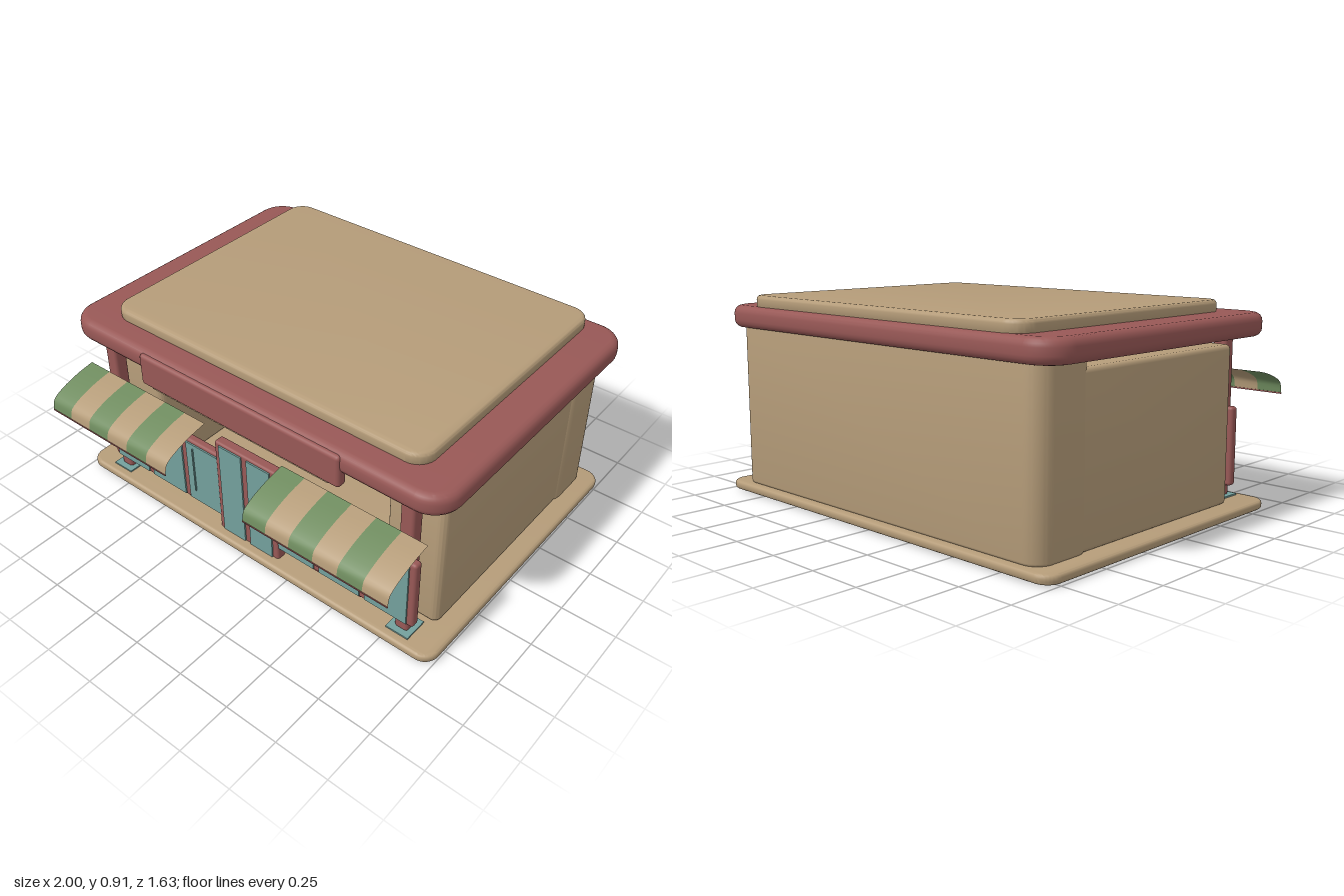
import * as THREE from 'three';
import { toCreasedNormals } from 'three/addons/utils/BufferGeometryUtils.js';
import { RoundedBoxGeometry } from 'three/addons/geometries/RoundedBoxGeometry.js';

const paint = (name, color, side = THREE.FrontSide) => {
  const m = new THREE.MeshStandardMaterial({ color, side });
  m.name = name;
  return m;
};

export function createModel() {
  const tan = paint('tan', 0xb59c79);
  const red = paint('brick red', 0x985856);
  const teal = paint('teal glass', 0x74a09d);
  const green = paint('awning green', 0x6f8c5f, THREE.DoubleSide);
  const cream = paint('awning tan', 0xb59c79, THREE.DoubleSide);
  const model = new THREE.Group();
  model.name = 'shop';

  const add = (name, geometry, material) => {
    const mesh = new THREE.Mesh(geometry, material);
    mesh.name = name;
    model.add(mesh);
    return mesh;
  };

  // Box given by its limits, optionally with softened edges
  const block = (name, mat, [x0, x1], [y0, y1], [z0, z1], r = 0) => {
    const s = [x1 - x0, y1 - y0, z1 - z0];
    const g = r ? new RoundedBoxGeometry(...s, 3, r) : new THREE.BoxGeometry(...s);
    add(name, g, mat).position.set((x0 + x1) / 2, (y0 + y1) / 2, (z0 + z1) / 2);
  };

  // Horizontal slab with rounded plan corners and rolled edges
  const slab = (name, mat, [x0, x1], [y0, y1], [z0, z1], r, bevel) => {
    const s = new THREE.Shape();
    const b = -z1, t = -z0, H = Math.PI / 2;
    s.absarc(x1 - r, b + r, r, -H, 0);
    s.absarc(x1 - r, t - r, r, 0, H);
    s.absarc(x0 + r, t - r, r, H, 2 * H);
    s.absarc(x0 + r, b + r, r, 2 * H, 3 * H);
    s.closePath();
    const g = new THREE.ExtrudeGeometry(s, {
      depth: y1 - y0 - 2 * bevel, bevelThickness: bevel, bevelSize: bevel,
      bevelOffset: -bevel, bevelSegments: 4, curveSegments: 8,
    });
    g.rotateX(-Math.PI / 2).translate(0, y0 + bevel, 0);
    add(name, toCreasedNormals(g, 0.7), mat);
  };

  // Base, walls and roof
  slab('base', tan, [-1, 1], [0.005, 0.045], [-0.815, 0.62], 0.07, 0.015);
  slab('rearBlock', tan, [-0.92, 0.92], [0.04, 0.775], [-0.78, -0.48], 0.08, 0.015);
  for (const s of [-1, 1]) {
    const xs = s > 0 ? [0.64, 0.912] : [-0.912, -0.64];
    slab('sideWall', tan, xs, [0.042, 0.73], [-0.56, 0.44], 0.035, 0.02);
  }
  slab('roof', red, [-1, 1], [0.762, 0.862], [-0.81, 0.61], 0.13, 0.035);
  slab('roofDeck', tan, [-0.83, 0.83], [0.85, 0.912], [-0.78, 0.49], 0.085, 0.018);
  block('signBoard', red, [-0.54, 0.54], [0.695, 0.85], [0.568, 0.62], 0.018);
  block('signTrim', tan, [-0.48, 0.48], [0.69, 0.696], [0.58, 0.61]);

  // Posts at the front corners on flat feet
  for (const x of [-0.812, 0.812]) {
    block('post', red, [x - 0.033, x + 0.033], [0.045, 0.752], [0.488, 0.553], 0.015);
    block('postFoot', teal, [x - 0.055, x + 0.055], [0.044, 0.052], [0.465, 0.58]);
  }

  // Window banks, each with three panes
  for (const s of [-1, 1]) {
    const span = (a, b) => (s > 0 ? [a, b] : [-b, -a]);
    block('windowFrame', red, span(0.15, 0.873), [0.095, 0.446], [0.515, 0.558], 0.014);
    for (const [a, b] of [[0.165, 0.363], [0.393, 0.605], [0.635, 0.843]]) {
      block('windowPane', teal, span(a, b), [0.108, 0.432], [0.557, 0.565]);
    }
    for (const x of [0.36, 0.48, 0.58]) {
      block('frameFoot', red, span(x - 0.025, x + 0.025), [0.088, 0.1], [0.525, 0.55]);
    }
    block('awningLamp', teal, span(0.53, 0.6), [0.47, 0.477], [0.63, 0.695]);
  }
  for (const x of [-0.8, -0.32, 0.2, 0.68]) {
    block('windowBar', teal, [x - 0.003, x + 0.003], [0.17, 0.41], [0.565, 0.571]);
  }

  // Double door
  block('doorFrame', red, [-0.175, 0.17], [0.03, 0.537], [0.52, 0.57], 0.012);
  for (const [a, b] of [[-0.145, -0.018], [0.013, 0.14]]) {
    block('doorPane', teal, [a, b], [0.046, 0.525], [0.569, 0.577]);
  }
  block('threshold', red, [-0.16, 0.16], [0, 0.012], [0.535, 0.56]);

  // Striped awnings: a curved profile swept across each stripe
  const curve = new THREE.CatmullRomCurve3([
    [0.57, 0.605], [0.66, 0.589], [0.755, 0.558], [0.802, 0.528], [0.813, 0.482],
  ].map(([z, y]) => new THREE.Vector3(0, y, z)));
  const steps = 12, stripe = 0.119;
  for (const start of [-0.935, 0.21]) {
    for (let i = 0; i < 6; i++) {
      const g = new THREE.PlaneGeometry(stripe, 1, 1, steps);
      const p = g.attributes.position;
      for (let k = 0; k < p.count; k++) {
        const c = curve.getPoint(0.5 - p.getY(k));
        p.setXYZ(k, p.getX(k) + start + (i + 0.5) * stripe, c.y, c.z);
      }
      g.computeVertexNormals();
      add('awningStripe', g, i % 2 ? cream : green);
    }
    block('awningHem', red, [start, start + 6 * stripe], [0.477, 0.483], [0.81, 0.815]);
  }
  return model;
}
